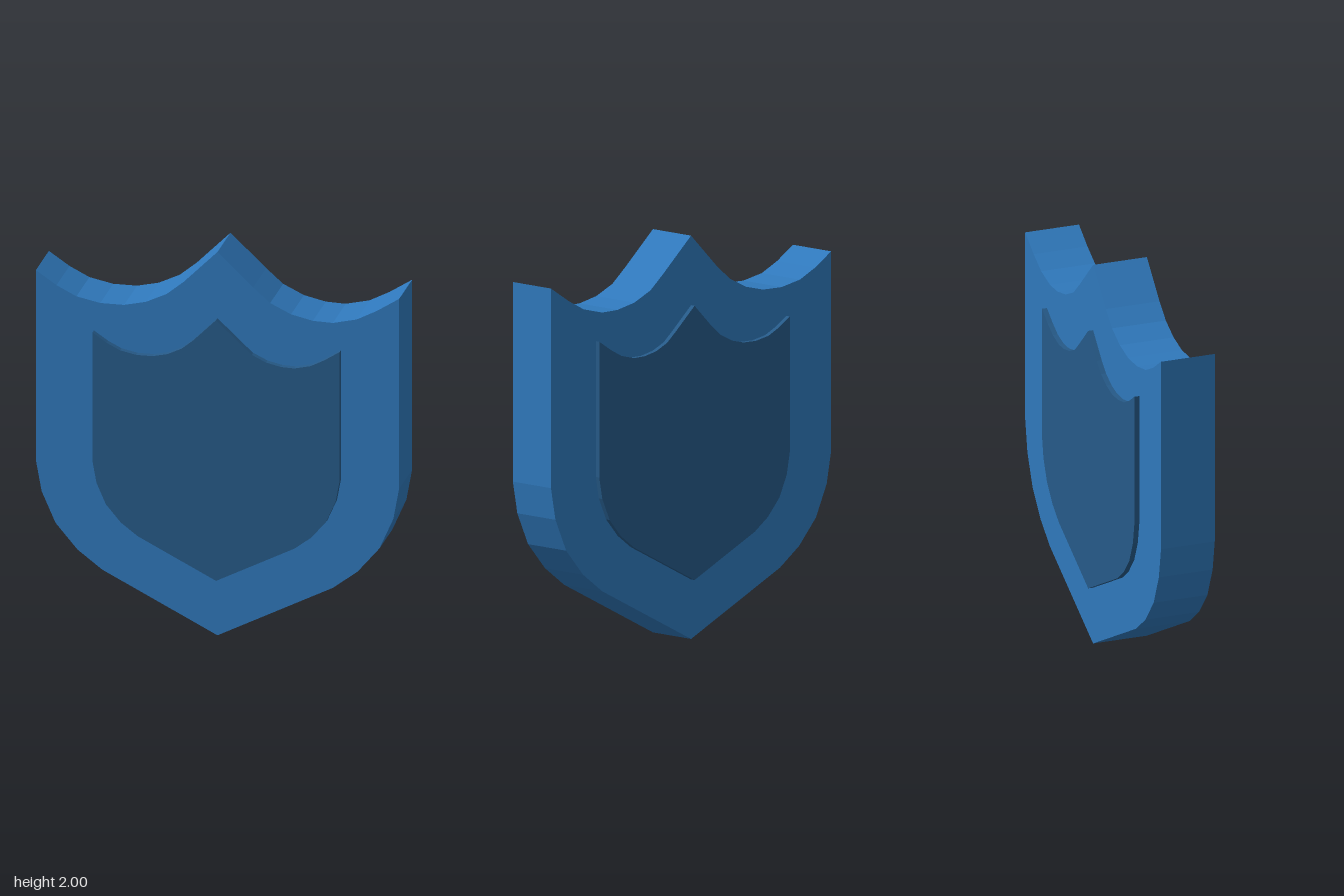
import * as THREE from 'three';

// Shield outline, counter-clockwise from the bottom tip
const lowerCurve = [[0.58, 0.295], [0.705, 0.39], [0.815, 0.52], [0.885, 0.68], [0.914, 0.84]];
const topLeftSide = [[0.914, 1.83], [0.8, 1.757], [0.7, 1.705], [0.58, 1.677], [0.48, 1.68], [0.37, 1.705], [0.265, 1.755], [0.18, 1.83]];
const topRightSide = [[-0.17, 1.83], [-0.255, 1.76], [-0.36, 1.71], [-0.47, 1.685], [-0.59, 1.685], [-0.71, 1.71], [-0.81, 1.76], [-0.914, 1.83]];
const outline = [
  [0, 0], ...lowerCurve, ...topLeftSide, [0, 2], ...topRightSide,
  ...lowerCurve.map(([x, y]) => [-x, y]).reverse(),
];

// Extruded plate in the shield outline, scaled and raised, between two z values
function plate(name, color, scale, lift, back, front) {
  const shape = new THREE.Shape(outline.map(([x, y]) => new THREE.Vector2(x * scale, y * scale + lift)));
  const geometry = new THREE.ExtrudeGeometry(shape, { depth: front - back, bevelEnabled: false });
  geometry.translate(0, 0, back);
  const mesh = new THREE.Mesh(geometry, new THREE.MeshStandardMaterial({ color, flatShading: true }));
  mesh.name = name;
  return mesh;
}

export function createModel() {
  const model = new THREE.Group();
  model.name = 'shield';
  model.add(plate('shieldBody', 0x2f78bb, 1, 0, -0.144, 0.139));
  // Darker panel stands proud of both faces
  model.add(plate('innerPanel', 0x265a88, 0.68, 0.295, -0.17, 0.17));
  return model;
}
